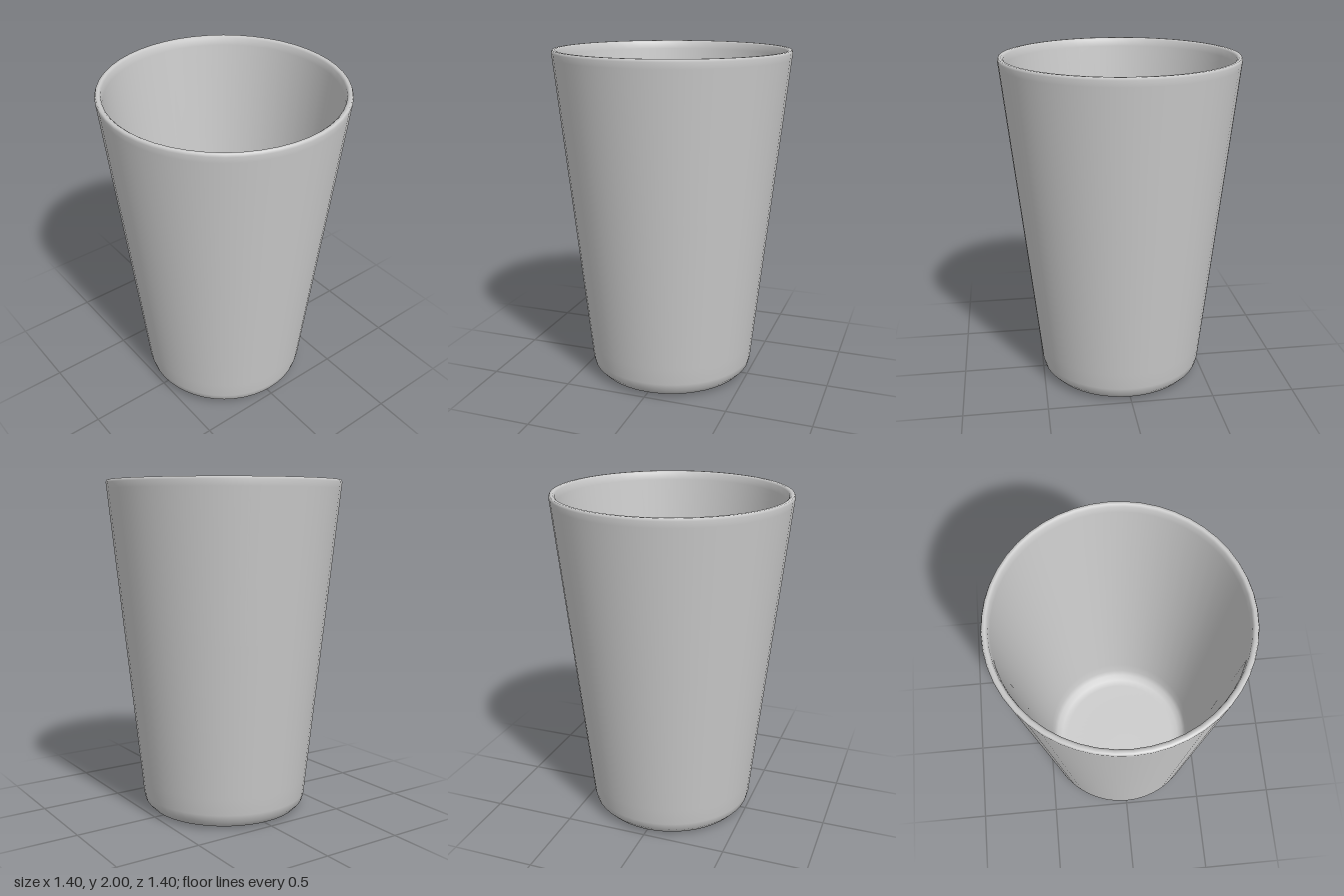
import * as THREE from 'three';

export function createModel() {
  const group = new THREE.Group();
  const material = new THREE.MeshStandardMaterial({ color: 0xcccccc });

  // Closed profile: under the base, up the outside, over the lip, down the inside
  const profile = [
    // underside and rounded foot
    [0, 0.005], [0.38, 0.005], [0.415, 0.005], [0.46, 0.02], [0.492, 0.055], [0.503, 0.1], [0.513, 0.2],
    // outer wall
    [0.606, 1.1], [0.694, 1.95],
    // rounded lip
    [0.698, 1.985], [0.692, 2], [0.676, 2], [0.664, 1.99], [0.658, 1.95],
    // inner wall
    [0.57, 1.1], [0.48, 0.2],
    // inner floor with a small fillet
    [0.469, 0.11], [0.45, 0.068], [0.415, 0.05], [0.37, 0.045], [0, 0.045],
  ].map(([r, y]) => new THREE.Vector2(r, y));

  const cup = new THREE.Mesh(new THREE.LatheGeometry(profile, 48), material);
  cup.name = 'cup';
  group.add(cup);
  return group;
}
